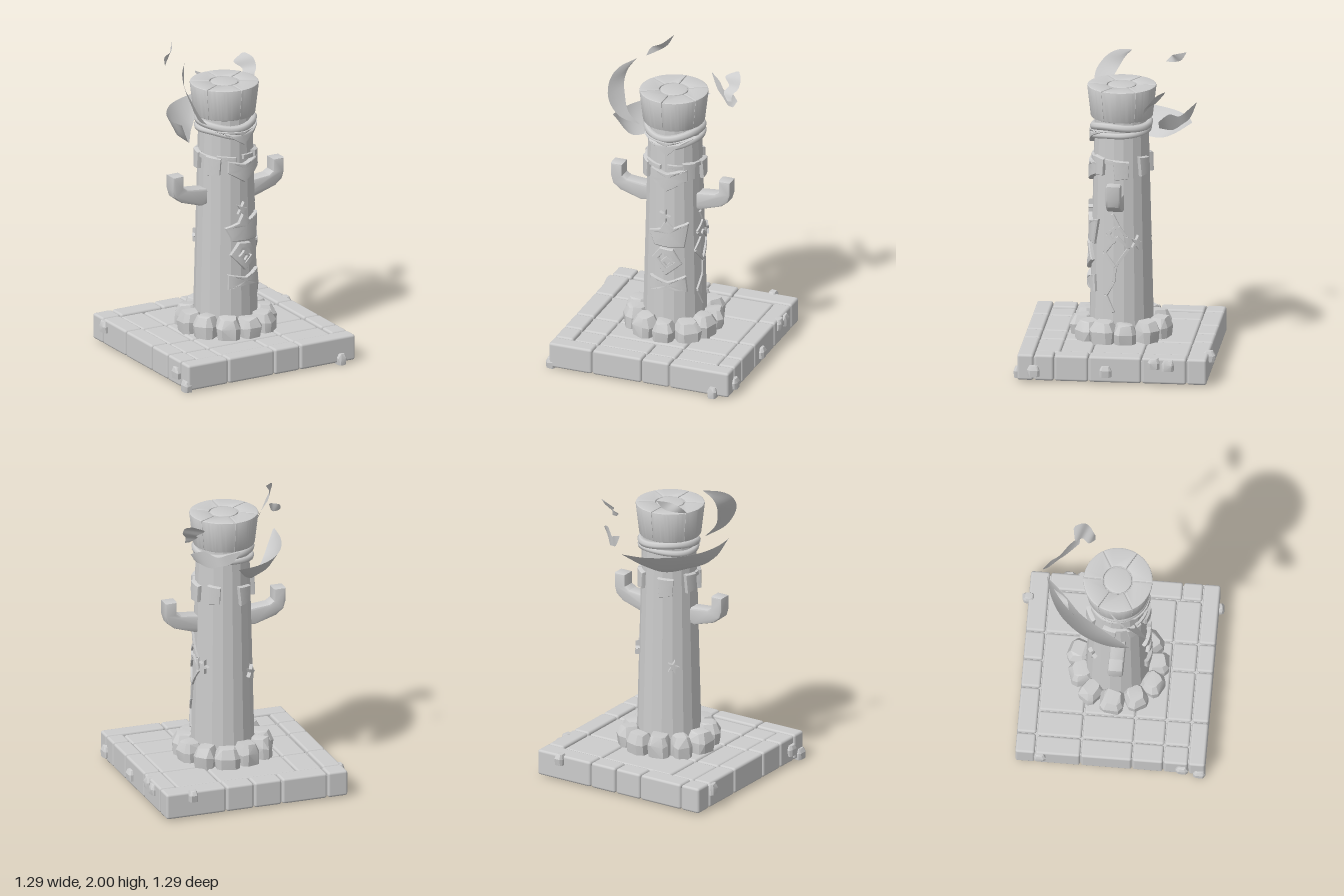
import * as THREE from 'three';
import { toCreasedNormals } from 'three/addons/utils/BufferGeometryUtils.js';
import { RoundedBoxGeometry } from 'three/addons/geometries/RoundedBoxGeometry.js';
import { ConvexGeometry } from 'three/addons/geometries/ConvexGeometry.js';

const stone = new THREE.MeshStandardMaterial({ color: 0xcccccc, side: THREE.DoubleSide });
stone.name = 'paleStone';

let seed = 7;
const rnd = () => ((seed = (seed * 16807) % 2147483647) / 2147483647);
const jit = (s) => (rnd() - 0.5) * s;
const columnRadius = (y) => 0.205 - 0.03 * (y - 0.3) / 1.2;

function add(parent, name, geo, crease = 0.5) {
  const mesh = new THREE.Mesh(crease ? toCreasedNormals(geo, crease) : geo, stone);
  mesh.name = name;
  parent.add(mesh);
  return mesh;
}

// Grid surface from rows of [x, y, z]; each row has the same length
function grid(rows) {
  const n = rows[0].length, index = [];
  for (let j = 0; j < rows.length - 1; j++) for (let i = 0; i < n - 1; i++) {
    const a = j * n + i, d = a + n;
    index.push(a, a + 1, d + 1, a, d + 1, d);
  }
  const geo = new THREE.BufferGeometry();
  geo.setAttribute('position', new THREE.Float32BufferAttribute(rows.flat(2), 3));
  geo.setIndex(index);
  geo.computeVertexNormals();
  return geo;
}

// Raised plate wrapped round the column; outline runs counter-clockwise in (u, y)
function relief(parent, name, angle, pts, h = 0.02, hole = 0) {
  const outline = [];
  pts.forEach((p, i) => {
    const q = pts[(i + 1) % pts.length];
    for (let k = 0; k < 4; k++) outline.push([p[0] + (q[0] - p[0]) * k / 4, p[1] + (q[1] - p[1]) * k / 4]);
  });
  outline.push(outline[0]);
  const cu = pts.reduce((s, p) => s + p[0], 0) / pts.length;
  const cy = pts.reduce((s, p) => s + p[1], 0) / pts.length;
  const profile = [[1, -0.02], [1, h * 0.7], [0.93, h], [0.7, h], [hole || 0.001, h]];
  if (hole) profile.push([hole, -0.02]);
  const rows = profile.map(([s, lift]) => outline.map(([u, y]) => {
    const pu = cu + (u - cu) * s, py = cy + (y - cy) * s;
    const R = columnRadius(py), a = angle + Math.asin(Math.max(-0.98, Math.min(0.98, pu / R)));
    return [(R + lift) * Math.sin(a), py, (R + lift) * Math.cos(a)];
  }));
  return add(parent, name, grid(rows), 0.6);
}

// Thin raised line on the column
function stroke(parent, name, angle, path, w = 0.009) {
  for (let i = 0; i < path.length - 1; i++) {
    const [a, b] = [path[i], path[i + 1]], dx = b[0] - a[0], dy = b[1] - a[1], l = Math.hypot(dx, dy);
    const nx = -dy / l * w, ny = dx / l * w;
    relief(parent, name, angle, [[a[0] - nx, a[1] - ny], [b[0] - nx, b[1] - ny], [b[0] + nx, b[1] + ny], [a[0] + nx, a[1] + ny]], 0.011);
  }
}

// Curved sheet lofted through smooth rails
function sheet(parent, name, rails) {
  const rows = rails.map((r) => new THREE.CatmullRomCurve3(r.map((p) => new THREE.Vector3(...p)))
    .getPoints(24).map((v) => v.toArray()));
  return add(parent, name, grid(rows), 0);
}

// Chunky faceted boulder resting on its base
function rock(parent, name, w, h, d) {
  const pts = [];
  for (const [y, s] of [[0, 0.92], [0.6, 1], [1, 0.66]])
    for (const [x, z] of [[-1, -0.6], [-0.6, -1], [0.6, -1], [1, -0.6], [1, 0.6], [0.6, 1], [-0.6, 1], [-1, 0.6]])
      pts.push(new THREE.Vector3((x * s + jit(0.16)) * w / 2, (y + (y ? jit(0.1) : 0)) * h, (z * s + jit(0.16)) * d / 2));
  return add(parent, name, new ConvexGeometry(pts), 0.3);
}

function buildBase(g) {
  const base = new THREE.Group();
  base.name = 'tiledBase';
  g.add(base);
  add(base, 'baseCore', new THREE.BoxGeometry(1.2, 0.135, 1.18), 0).position.set(-0.01, 0.0875, 0);
  const tile = (name, x0, x1, z0, z1, top) => {
    add(base, name, new RoundedBoxGeometry(x1 - x0 - 0.006, top - 0.01, z1 - z0 - 0.006, 2, 0.016), 0)
      .position.set((x0 + x1) / 2, (top + 0.01) / 2, (z0 + z1) / 2);
  };
  const run = (cuts, fn) => cuts.slice(1).forEach((c, i) => fn(cuts[i], c));
  // Border kerbs
  run([-0.63, -0.49, -0.18, 0.01, 0.2, 0.61], (a, b) => tile('backKerb', a, b, -0.61, -0.48, 0.18));
  run([-0.63, -0.33, 0.01, 0.2, 0.61], (a, b) => tile('frontKerb', a, b, 0.5, 0.61, 0.18));
  run([-0.48, -0.19, 0.14, 0.34, 0.5], (a, b) => tile('rightKerb', -0.63, -0.5, a, b, 0.18));
  run([-0.48, -0.19, 0.15, 0.37, 0.5], (a, b) => tile('leftKerb', 0.49, 0.61, a, b, 0.18));
  // Paving inside the border
  [[-0.48, -0.19, [-0.5, -0.33, 0.2, 0.49]], [-0.19, 0.14, [-0.5, -0.33, 0.2, 0.49]],
    [0.14, 0.34, [-0.5, -0.33, 0.2, 0.49]], [0.34, 0.5, [-0.5, -0.33, 0.01, 0.2, 0.49]]]
    .forEach(([z0, z1, cuts]) => run(cuts, (a, b) => tile('pavingSlab', a, b, z0, z1, 0.172)));
  // Chips stuck to the sides
  [[0.605, 0.05, 0.04], [0.605, 0.04, 0.5], [0.6, 0.11, -0.27], [0.6, 0.1, -0.36], [-0.625, 0.06, 0.46],
    [-0.62, 0.0, 0.57], [-0.625, 0.1, -0.45], [0.43, 0.12, -0.605], [0.5, 0.0, 0.6]].forEach(([x, y, z]) => {
    rock(base, 'chip', 0.06, 0.07, 0.08).position.set(x, y, z);
  });
  // Boulder ring round the foot of the column
  for (let i = 0; i < 11; i++) {
    const a = (i + 0.15) / 11 * Math.PI * 2 + jit(0.1), r = 0.25 + jit(0.02);
    const b = rock(base, 'footStone', 0.145 + jit(0.04), 0.14 + jit(0.02), 0.15);
    b.position.set(r * Math.sin(a), 0.16, r * Math.cos(a));
    b.rotation.y = a;
  }
}

function buildCap(g) {
  const cap = new THREE.Group();
  cap.name = 'cap';
  cap.position.set(-0.008, 1.61, 0);
  g.add(cap);
  add(cap, 'capCore', new THREE.CylinderGeometry(0.208, 0.185, 0.195, 36).translate(0, 0.1, 0));
  const wedge = (name, draw) => {
    const s = new THREE.Shape();
    draw(s);
    const geo = new THREE.ExtrudeGeometry(s, { depth: 0.19, bevelSize: 0.009, bevelThickness: 0.01, bevelSegments: 2, curveSegments: 10 });
    geo.rotateX(-Math.PI / 2).translate(0, 0.01, 0);
    const p = geo.attributes.position;
    for (let i = 0; i < p.count; i++) {
      const k = 0.89 + 0.11 * p.getY(i) / 0.21;
      p.setXYZ(i, p.getX(i) * k, p.getY(i), p.getZ(i) * k);
    }
    add(cap, name, geo, 0.6);
  };
  for (let i = 0; i < 6; i++) {
    const a0 = Math.PI / 2 + i * Math.PI / 3, a1 = a0 + Math.PI / 3;
    wedge('capWedge', (s) => {
      s.absarc(0, 0, 0.213, a0 + 0.045, a1 - 0.045, false);
      s.absarc(0, 0, 0.103, a1 - 0.095, a0 + 0.095, true);
    });
  }
  wedge('capCentre', (s) => s.absarc(0, 0, 0.082, 0, Math.PI * 2, false));
}

export function createModel() {
  const g = new THREE.Group();
  g.name = 'stonePillar';
  buildBase(g);

  // Faceted shaft
  add(g, 'column', new THREE.CylinderGeometry(columnRadius(1.63), columnRadius(0.15), 1.48, 18).translate(0, 0.89, 0), 0.2);
  buildCap(g);

  // Knotted cloth: two sagging rolls and a front flap
  [[1.575, 0.03, 0.025], [1.53, 0.045, 0.02]].forEach(([y, dip, r], k) => {
    const pts = [];
    for (let i = 0; i < 20; i++) {
      const a = i / 20 * Math.PI * 2, front = Math.max(0, Math.cos(a)) ** 3;
      const R = columnRadius(y) + 0.004 + 0.004 * Math.sin(a * 3 + k);
      pts.push(new THREE.Vector3(R * Math.sin(a), y - dip * front + 0.008 * Math.sin(a * 2 + k * 2), R * Math.cos(a)));
    }
    add(g, 'clothRoll', new THREE.TubeGeometry(new THREE.CatmullRomCurve3(pts, true), 60, r, 7, true), 0);
  });
  relief(g, 'clothFlap', 0, [[-0.15, 1.54], [-0.05, 1.49], [0.02, 1.44], [0.07, 1.49], [0.16, 1.55], [0.02, 1.53]], 0.03);

  // Torn collar pieces
  relief(g, 'frontShield', 0, [[-0.08, 1.26], [0.02, 1.19], [0.13, 1.26], [0.13, 1.34], [0.02, 1.31], [-0.08, 1.34]], 0.03);
  const shard = [[-0.03, 1.25], [0.035, 1.26], [0.04, 1.37], [-0.04, 1.38]];
  [0.85, 1.65, 2.5, 3.6, 4.5, 5.35].forEach((a, i) =>
    relief(g, 'collarShard', a, shard.map(([u, y]) => [u * (1 + 0.2 * (i % 2)), y - 0.015 * (i % 2)]), 0.026));
  [0.45, 1.2, 5.0, 5.8].forEach((a) => relief(g, 'collarLink', a, [[-0.06, 1.34], [0.06, 1.33], [0.06, 1.36], [-0.06, 1.37]], 0.015));

  // Upturned arms
  for (const side of [1, -1]) {
    const s = new THREE.Shape([[0.13, 1.04], [0.2, 1.025], [0.345, 1.07], [0.395, 1.11], [0.41, 1.16], [0.41, 1.25], [0.33, 1.25],
      [0.33, 1.17], [0.3, 1.15], [0.19, 1.14], [0.13, 1.13]].map(([x, y]) => new THREE.Vector2(side * x, y)));
    const geo = new THREE.ExtrudeGeometry(s, { depth: 0.07, bevelSize: 0.013, bevelOffset: -0.013, bevelThickness: 0.013, bevelSegments: 2 });
    add(g, side > 0 ? 'leftArm' : 'rightArm', geo, 0.6).position.set(-0.01, 0, -0.02);
  }

  // Carvings on the front
  relief(g, 'crownCarving', 0, [[-0.06, 0.8], [0.12, 0.79], [0.13, 0.87], [0.14, 0.96], [0.06, 0.93], [0.01, 0.98], [-0.02, 0.92], [-0.1, 0.89]], 0.022);
  relief(g, 'diamondCarving', 0, [[0.02, 0.6], [0.11, 0.68], [0.06, 0.78], [-0.02, 0.79], [-0.075, 0.71]], 0.024, 0.55);
  relief(g, 'diamondHeart', 0, [[0.02, 0.64], [0.065, 0.69], [0.02, 0.73], [-0.02, 0.69]], 0.016, 0.5);
  relief(g, 'baseCarving', 0, [[-0.09, 0.48], [0.02, 0.5], [0.14, 0.48], [0.13, 0.59], [0.03, 0.55], [-0.09, 0.58]], 0.022);

  // Raised lines on the left side
  [[[-0.04, 1.01], [0.0, 0.93], [0.05, 0.86], [0.06, 0.78], [-0.02, 0.66], [-0.09, 0.75], [-0.01, 0.86], [0.06, 0.79]],
    [[0.0, 0.94], [-0.07, 0.87], [-0.02, 0.82]], [[-0.02, 0.66], [-0.03, 0.56], [-0.08, 0.47], [-0.03, 0.36]]]
    .forEach((path) => stroke(g, 'lineCarving', Math.PI / 2, path));

  // Small leaf sprigs
  [[0.03, 1.01], [2.15, 0.82], [3.85, 0.76]].forEach(([a, y]) => {
    const pts = [];
    for (let i = 0; i < 10; i++) {
      const t = i / 10 * Math.PI * 2, r = i % 2 ? 0.02 : 0.05;
      pts.push([r * 0.75 * Math.cos(t), y + r * Math.sin(t)]);
    }
    relief(g, 'leafSprig', a, pts, 0.024);
  });

  // Floating flame wisps
  const flames = new THREE.Group();
  flames.name = 'flames';
  g.add(flames);
  sheet(flames, 'crescentFlame', [
    [[0.06, 1.595, -0.46], [-0.08, 1.59, -0.42], [-0.21, 1.59, -0.34], [-0.32, 1.59, -0.2], [-0.38, 1.6, -0.04], [-0.39, 1.615, 0.1]],
    [[0.06, 1.595, -0.46], [-0.05, 1.52, -0.37], [-0.16, 1.49, -0.29], [-0.28, 1.49, -0.15], [-0.35, 1.51, 0.0], [-0.385, 1.61, 0.1]],
    [[0.06, 1.595, -0.46], [-0.03, 1.49, -0.33], [-0.12, 1.435, -0.23], [-0.21, 1.435, -0.09], [-0.29, 1.46, 0.03], [-0.38, 1.61, 0.1]]]);
  sheet(flames, 'tallFlame', [
    [[-0.2, 1.585, 0.11], [-0.31, 1.66, 0.19], [-0.375, 1.78, 0.21], [-0.39, 1.88, 0.15], [-0.36, 1.94, 0.07], [-0.28, 1.97, -0.04]],
    [[-0.2, 1.585, 0.11], [-0.29, 1.665, 0.16], [-0.35, 1.78, 0.15], [-0.36, 1.86, 0.1], [-0.33, 1.92, 0.04], [-0.28, 1.97, -0.04]],
    [[-0.2, 1.585, 0.11], [-0.27, 1.67, 0.13], [-0.31, 1.77, 0.09], [-0.33, 1.84, 0.05], [-0.32, 1.91, 0.01], [-0.28, 1.97, -0.04]]]);
  sheet(flames, 'highFlame', [
    [[-0.3, 1.89, -0.25], [-0.28, 1.935, -0.29], [-0.22, 1.96, -0.31], [-0.165, 1.995, -0.4]],
    [[-0.3, 1.89, -0.25], [-0.26, 1.9, -0.3], [-0.2, 1.93, -0.36], [-0.165, 1.995, -0.4]]]);
  sheet(flames, 'leftFlame', [
    [[0.29, 1.71, -0.17], [0.25, 1.75, -0.21], [0.27, 1.78, -0.25], [0.23, 1.82, -0.29], [0.3, 1.86, -0.31]],
    [[0.32, 1.71, -0.17], [0.32, 1.75, -0.18], [0.35, 1.79, -0.21], [0.35, 1.84, -0.25], [0.32, 1.865, -0.3]]]);
  sheet(flames, 'backFlame', [
    [[0.06, 1.72, -0.485], [0.11, 1.64, -0.45], [0.17, 1.61, -0.4], [0.22, 1.59, -0.35], [0.29, 1.62, -0.27]],
    [[0.06, 1.73, -0.485], [0.13, 1.7, -0.44], [0.18, 1.67, -0.39], [0.25, 1.7, -0.33], [0.32, 1.67, -0.27]]]);
  return g;
}
